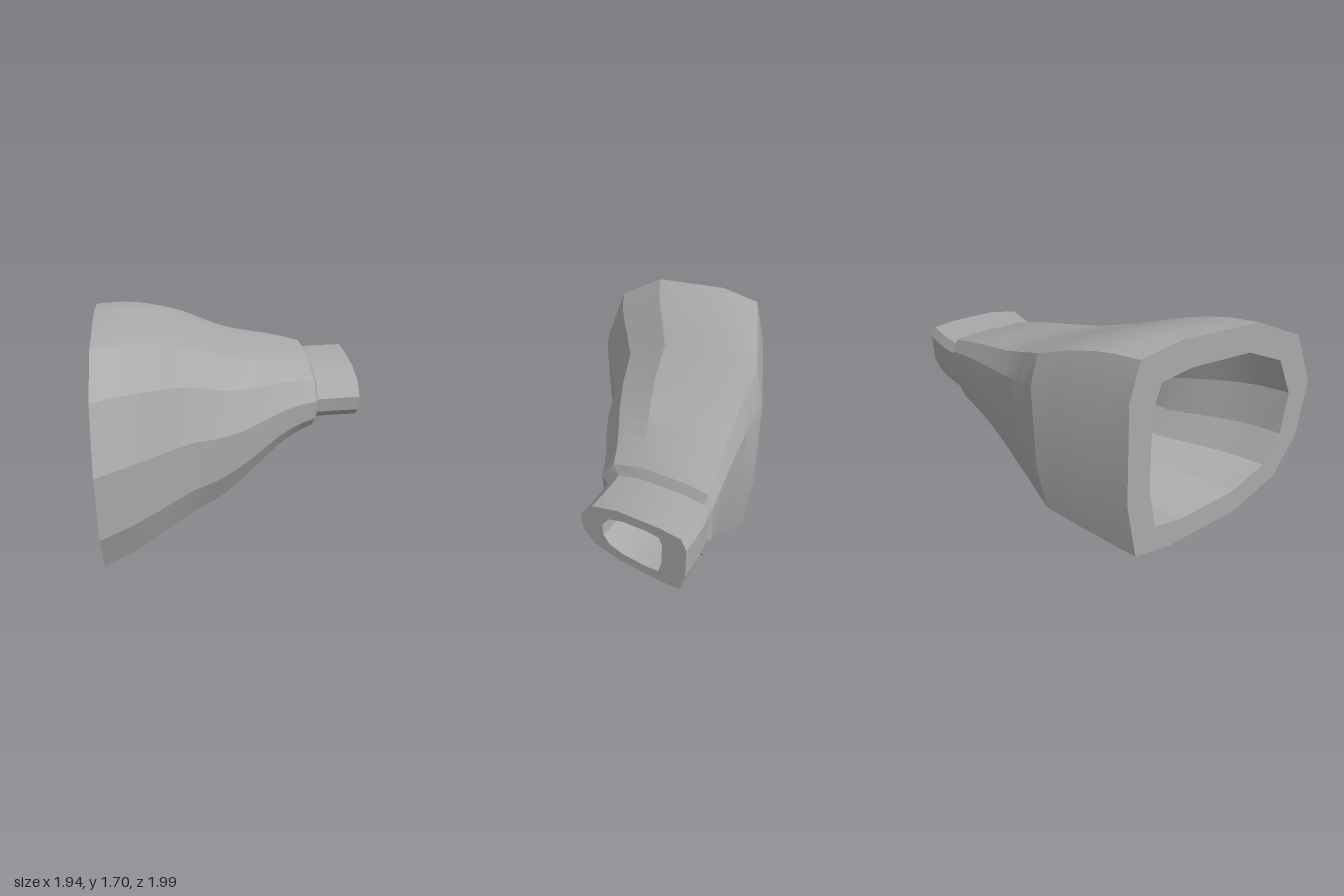
import * as THREE from 'three';
import { toCreasedNormals } from 'three/addons/utils/BufferGeometryUtils.js';

// Unit cross-section [z, y], from the front point over the top to the back and underneath
const SECTION = [
  [1, 0.6], [0.885, 0.845], [0.64, 0.965], [0.245, 1], [0.05, 0.975], [0, 0.81],
  [0, 0.325], [0.05, 0.03], [0.245, 0], [0.64, 0.03], [0.87, 0.137], [0.98, 0.325],
];

// Stations along the duct: x, back z, front z, bottom y, top y, bore scale z, bore scale y
const BODY = [
  [-0.97, -0.46, 0.99, 0.005, 1.7, 0.77, 0.74],
  [-0.8, -0.55, 0.88, 0.025, 1.68, 0.77, 0.74],
  [-0.7, -0.6, 0.8, 0.04, 1.655, 0.77, 0.74],
  [-0.6, -0.655, 0.71, 0.057, 1.62, 0.77, 0.74],
  [-0.5, -0.705, 0.61, 0.076, 1.58, 0.77, 0.74],
  [-0.34, -0.79, 0.46, 0.11, 1.5, 0.77, 0.74],
  [-0.2, -0.8, 0.39, 0.16, 1.43, 0.75, 0.735],
  [-0.1, -0.81, 0.34, 0.215, 1.38, 0.735, 0.73],
  [0, -0.83, 0.28, 0.28, 1.335, 0.72, 0.72],
  [0.1, -0.85, 0.215, 0.355, 1.3, 0.7, 0.7],
  [0.2, -0.872, 0.145, 0.43, 1.27, 0.68, 0.685],
  [0.3, -0.895, 0.07, 0.495, 1.24, 0.65, 0.665],
  [0.4, -0.918, 0, 0.545, 1.205, 0.62, 0.645],
  [0.5, -0.94, -0.065, 0.58, 1.17, 0.59, 0.62],
  [0.605, -0.962, -0.12, 0.605, 1.13, 0.56, 0.6],
];
const TIP = [
  [0.64, -0.955, -0.195, 0.66, 1.07, 0.58, 0.69],
  [0.75, -0.978, -0.21, 0.655, 1.065, 0.575, 0.69],
  [0.86, -0.993, -0.223, 0.65, 1.06, 0.57, 0.685],
  [0.97, -1, -0.23, 0.645, 1.057, 0.57, 0.68],
];

function ring([x, z0, z1, y0, y1, sz, sy], inner) {
  const kz = inner ? sz : 1, ky = inner ? sy : 1;
  return SECTION.map(([z, y]) => [
    x,
    y0 + (y1 - y0) * (0.5 + (y - 0.5) * ky),
    z0 + (z1 - z0) * (0.5 + (z - 0.5) * kz),
  ]);
}

// Joins consecutive rings with quads, keeping the long facet edges sharp
function loft(rings) {
  const pos = [];
  const n = SECTION.length;
  for (let i = 0; i < rings.length - 1; i++) {
    for (let k = 0; k < n; k++) {
      const m = (k + 1) % n;
      const a = rings[i][k], b = rings[i][m], c = rings[i + 1][m], d = rings[i + 1][k];
      pos.push(...a, ...d, ...c, ...a, ...c, ...b);
    }
  }
  const geo = new THREE.BufferGeometry();
  geo.setAttribute('position', new THREE.Float32BufferAttribute(pos, 3));
  return toCreasedNormals(geo, 0.29);
}

export function createModel() {
  const group = new THREE.Group();
  group.name = 'taperedDuct';
  const grey = new THREE.MeshStandardMaterial({ color: 0xaaaaaa });
  grey.name = 'plain grey';

  const add = (name, rings) => {
    const mesh = new THREE.Mesh(loft(rings), grey);
    mesh.name = name;
    group.add(mesh);
  };

  const all = [...BODY, ...TIP];
  const first = BODY[0], last = TIP[TIP.length - 1];

  // Outer skin, stepping down to the narrow connector
  add('bodyShell', BODY.map((s) => ring(s)));
  add('shoulderStep', [ring(BODY[BODY.length - 1]), ring(TIP[0])]);
  add('connector', TIP.map((s) => ring(s)));

  // Hollow bore and the flat rims at both ends
  add('connectorRim', [ring(last), ring(last, true)]);
  add('bore', all.map((s) => ring(s, true)).reverse());
  add('mouthRim', [ring(first, true), ring(first)]);

  return group;
}
